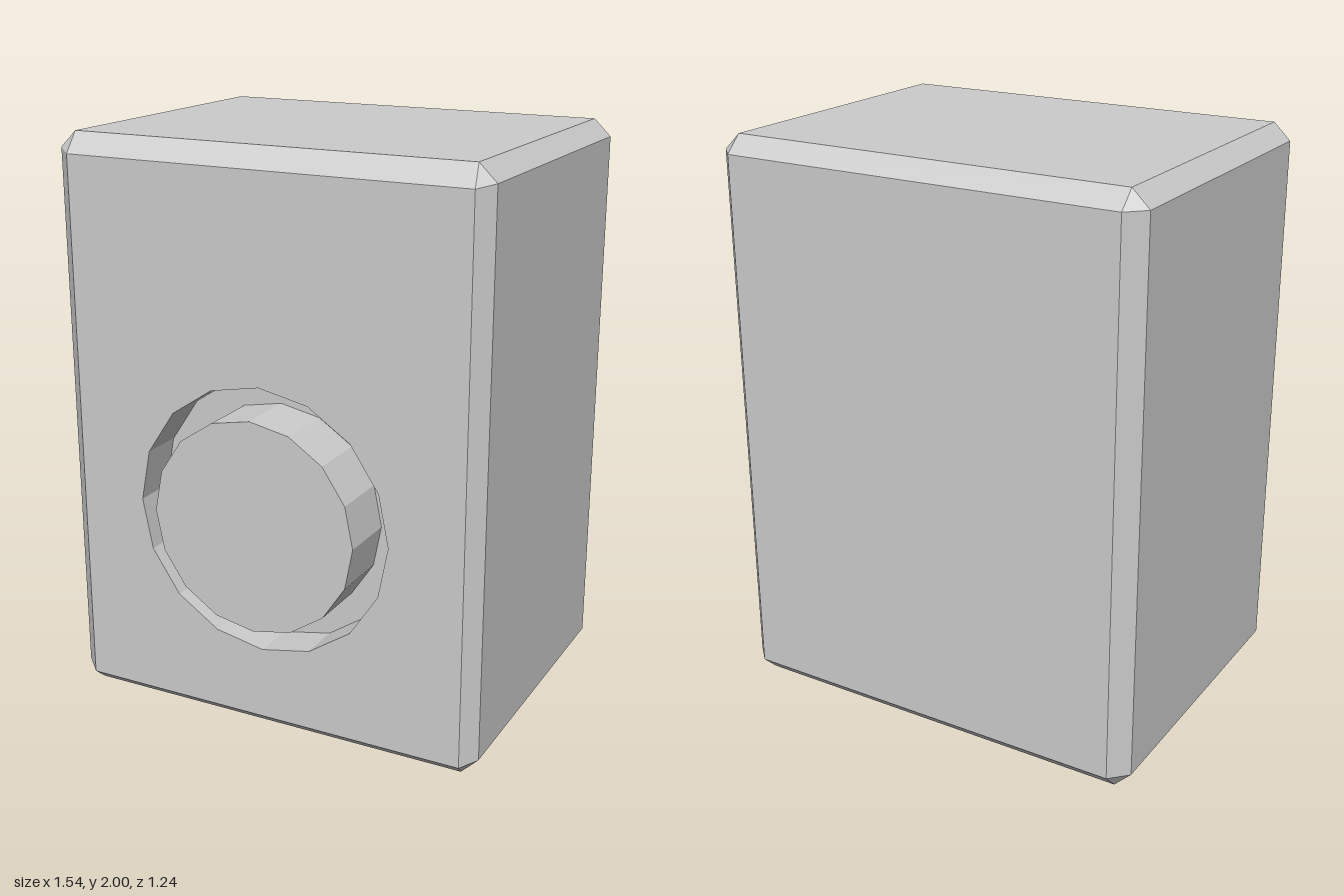
import * as THREE from 'three';

const SIDES = 16, DIAL_Y = 0.77, RECESS_R = 0.465, DIAL_R = 0.37;
const FRONT_Z = 0.56, RECESS_DEPTH = 0.15, DIAL_FRONT = 0.62;

// Limits of the flat panels as [low, high]
const front = { x: [-0.705, 0.725], y: [0.05, 1.932] };
const back = { x: [-0.71, 0.71], y: [0.06, 1.942] };
const side = { y: [0.06, 1.942], z: [-0.56, 0.5] };
const cap = { x: [-0.71, 0.71], z: [-0.56, 0.5] };
const outer = { x: [-0.77, 0.77], y: [0, 2], z: [-0.62, FRONT_Z] };

// The point of panel `axis` at the corner (i, j, k), each 0 = low, 1 = high
function corner(axis, [i, j, k]) {
  if (axis === 0) return new THREE.Vector3(outer.x[i], side.y[j], side.z[k]);
  if (axis === 1) return new THREE.Vector3(cap.x[i], outer.y[j], cap.z[k]);
  const panel = k ? front : back;
  return new THREE.Vector3(panel.x[i], panel.y[j], outer.z[k]);
}

// Box with bevelled edges and corners; the front panel is left open
function bevelledShell() {
  const positions = [];
  const centre = new THREE.Vector3(0, 1, 0);
  const triangle = (a, b, c) => {
    const normal = b.clone().sub(a).cross(c.clone().sub(a));
    const outward = normal.dot(a.clone().sub(centre)) > 0;
    for (const p of outward ? [a, b, c] : [a, c, b]) positions.push(p.x, p.y, p.z);
  };
  const quad = (a, b, c, d) => { triangle(a, b, c); triangle(a, c, d); };

  for (let axis = 0; axis < 3; axis++) {
    const u = (axis + 1) % 3, v = (axis + 2) % 3;
    const at = (s, p, q) => {
      const ids = [0, 0, 0];
      ids[axis] = s; ids[u] = p; ids[v] = q;
      return ids;
    };
    // Flat panels
    for (const s of [0, 1]) {
      if (axis === 2 && s === 1) continue;
      quad(...[[0, 0], [1, 0], [1, 1], [0, 1]].map(([p, q]) => corner(axis, at(s, p, q))));
    }
    // Bevels running along this axis
    for (const p of [0, 1]) for (const q of [0, 1]) {
      const low = at(0, p, q), high = at(1, p, q);
      quad(corner(u, low), corner(u, high), corner(v, high), corner(v, low));
    }
  }
  // Corner triangles
  for (let n = 0; n < 8; n++) {
    const ids = [n & 1, (n >> 1) & 1, (n >> 2) & 1];
    triangle(corner(0, ids), corner(1, ids), corner(2, ids));
  }
  const geometry = new THREE.BufferGeometry();
  geometry.setAttribute('position', new THREE.Float32BufferAttribute(positions, 3));
  geometry.computeVertexNormals();
  return geometry;
}

// Front panel with the round opening
function frontPanel() {
  const [x0, x1] = front.x, [y0, y1] = front.y;
  const shape = new THREE.Shape([[x0, y0], [x1, y0], [x1, y1], [x0, y1]].map(p => new THREE.Vector2(...p)));
  const ring = [];
  for (let i = 0; i < SIDES; i++) {
    const a = -i / SIDES * Math.PI * 2;
    ring.push(new THREE.Vector2(RECESS_R * Math.cos(a), DIAL_Y + RECESS_R * Math.sin(a)));
  }
  shape.holes.push(new THREE.Path(ring));
  return new THREE.ShapeGeometry(shape).translate(0, 0, FRONT_Z);
}

// Cylinder lying along z between two depths
function drum(radius, z0, z1, open = false) {
  return new THREE.CylinderGeometry(radius, radius, z1 - z0, SIDES, 1, open)
    .rotateX(Math.PI / 2)
    .translate(0, DIAL_Y, (z0 + z1) / 2);
}

export function createModel() {
  const group = new THREE.Group();
  const solid = new THREE.MeshStandardMaterial({ color: 0xcccccc, flatShading: true });
  const thin = new THREE.MeshStandardMaterial({ color: 0xcccccc, flatShading: true, side: THREE.DoubleSide });
  const add = (name, geometry, material = solid) => {
    const mesh = new THREE.Mesh(geometry, material);
    mesh.name = name;
    group.add(mesh);
  };
  const floorZ = FRONT_Z - RECESS_DEPTH;

  add('bevelledBody', bevelledShell());
  add('frontPanel', frontPanel());
  // Recess around the dial
  add('recessWall', drum(RECESS_R, floorZ, FRONT_Z, true), thin);
  add('recessFloor', new THREE.CircleGeometry(RECESS_R, SIDES).translate(0, DIAL_Y, floorZ));
  // Dial standing proud of the front
  add('dial', drum(DIAL_R, floorZ, DIAL_FRONT));
  return group;
}
